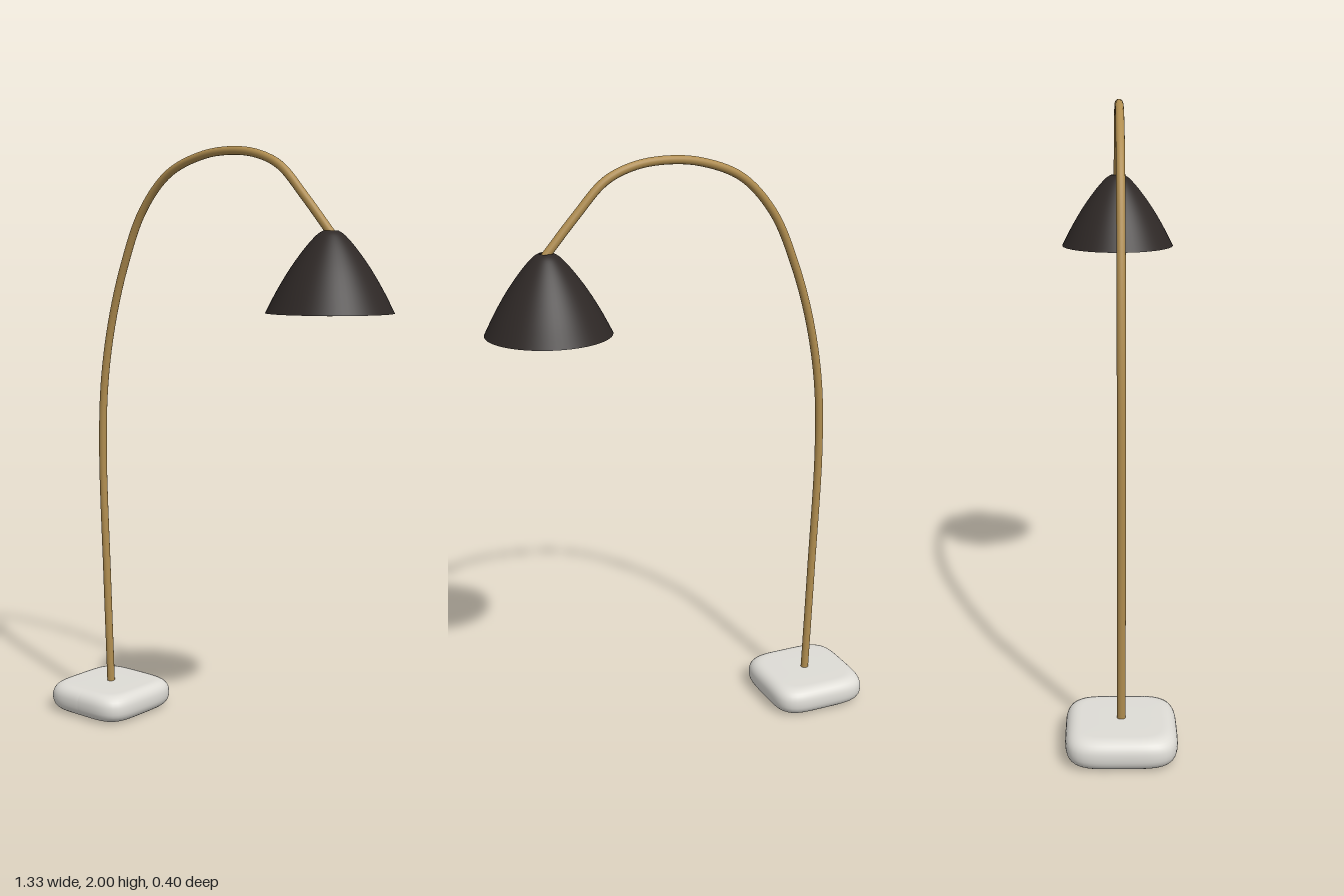
import * as THREE from 'three';

const BASE_X = -0.488, SHADE_X = 0.46;

const paint = (color, side = THREE.FrontSide) => {
  const m = new THREE.MeshStandardMaterial({ side });
  m.color.set(color);
  return m;
};

function part(name, geometry, material) {
  const mesh = new THREE.Mesh(geometry, material);
  mesh.name = name;
  return mesh;
}

// Pillow-like slab: a lathe whose round outline is pushed out to a rounded square
function baseGeometry() {
  const half = 0.177, height = 0.1, round = 0.05, n = 4.5;
  const profile = [new THREE.Vector2(0, 0), new THREE.Vector2(0.07, 0)];
  for (let i = 0; i <= 16; i++) {
    const a = -Math.PI / 2 + (i / 16) * Math.PI;
    const c = Math.abs(Math.cos(a)) ** 0.85, s = Math.sign(Math.sin(a)) * Math.abs(Math.sin(a)) ** 0.85;
    profile.push(new THREE.Vector2(half - round + round * c, height / 2 * (1 + s)));
  }
  profile.push(new THREE.Vector2(0.07, height), new THREE.Vector2(0, height));
  const geo = new THREE.LatheGeometry(profile, 72);
  const pos = geo.attributes.position;
  for (let i = 0; i < pos.count; i++) {
    const x = pos.getX(i), z = pos.getZ(i), r = Math.hypot(x, z);
    if (r < 1e-6) continue;
    const f = (Math.abs(x / r) ** n + Math.abs(z / r) ** n) ** (-1 / n);
    pos.setX(i, x * f);
    pos.setZ(i, z * f);
  }
  geo.computeVertexNormals();
  return geo;
}

export function createModel() {
  const group = new THREE.Group();
  const brass = paint(0xb08d4f);

  const base = part('base', baseGeometry(), paint(0xdedcd6));
  base.position.x = BASE_X;
  group.add(base);

  // Arched arm rising from the base and dropping into the shade
  const path = new THREE.CatmullRomCurve3([
    [-0.488, 0.08], [-0.502, 0.5], [-0.515, 0.95], [-0.503, 1.2], [-0.463, 1.42],
    [-0.4, 1.62], [-0.315, 1.8], [-0.2, 1.92], [-0.06, 1.974], [0.06, 1.986],
    [0.17, 1.973], [0.265, 1.932], [0.36, 1.835], [0.465, 1.715],
  ].map(([x, y]) => new THREE.Vector3(x, y, 0)));
  group.add(part('arm', new THREE.TubeGeometry(path, 120, 0.0138, 16), brass));

  // Flat caps closing both ends of the arm
  for (const t of [0, 1]) {
    const cap = part('armEnd', new THREE.CircleGeometry(0.0138, 16), brass);
    const dir = path.getTangentAt(t).multiplyScalar(t ? 1 : -1);
    cap.position.copy(path.getPointAt(t));
    cap.quaternion.setFromUnitVectors(new THREE.Vector3(0, 0, 1), dir);
    group.add(cap);
  }

  // Thin bell-shaped shade, open below, with a small hole at the top
  const bell = new THREE.SplineCurve([
    [0.2, 1.475], [0.165, 1.543], [0.125, 1.61], [0.082, 1.67], [0.045, 1.712], [0.023, 1.727],
  ].map(([r, y]) => new THREE.Vector2(r, y)));
  const shade = part('shade', new THREE.LatheGeometry(bell.getPoints(24), 64), paint(0x2e2826, THREE.DoubleSide));
  shade.position.x = SHADE_X;
  group.add(shade);

  const bulb = part('bulb', new THREE.SphereGeometry(0.057, 32, 24), paint(0xe6d3a0));
  bulb.position.set(SHADE_X, 1.522, 0);
  group.add(bulb);

  return group;
}
